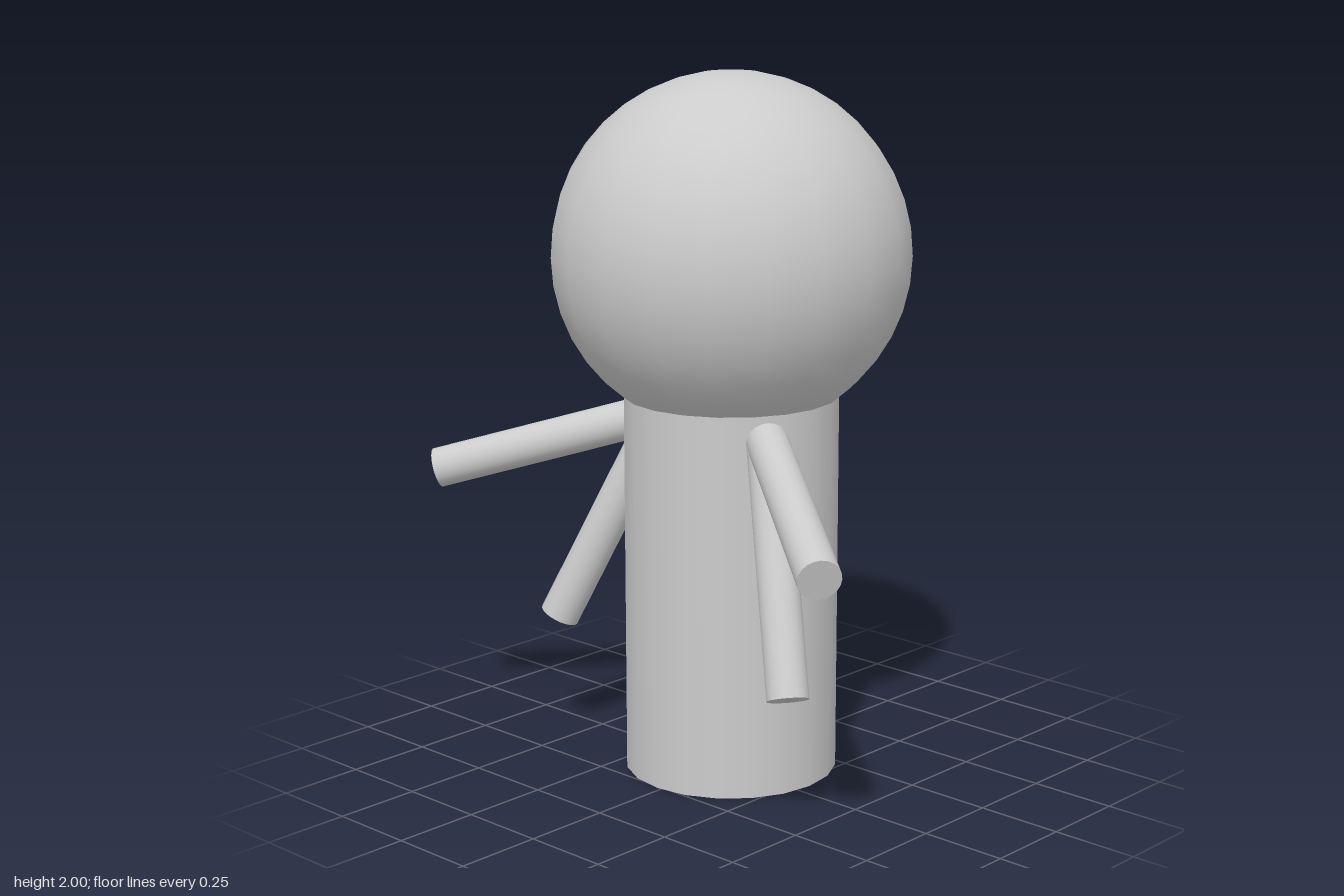
import * as THREE from 'three';

const material = new THREE.MeshStandardMaterial({ color: 0xcccccc });
const SIDES = 20;

// Straight round limb between two points
function limb(name, from, to, radius = 0.058) {
  const a = new THREE.Vector3(...from);
  const b = new THREE.Vector3(...to);
  const dir = b.clone().sub(a);
  const mesh = new THREE.Mesh(
    new THREE.CylinderGeometry(radius, radius, dir.length(), SIDES), material);
  mesh.name = name;
  mesh.position.copy(a).add(b).multiplyScalar(0.5);
  mesh.quaternion.setFromUnitVectors(new THREE.Vector3(0, 1, 0), dir.normalize());
  return mesh;
}

export function createModel() {
  const model = new THREE.Group();
  model.name = 'figure';
  const cx = -0.013, cz = -0.046;

  // Upright round body
  const body = new THREE.Mesh(
    new THREE.CylinderGeometry(0.305, 0.305, 1.1, SIDES), material);
  body.name = 'body';
  body.position.set(cx, 0.55, cz);
  model.add(body);

  // Large ball head
  const head = new THREE.Mesh(new THREE.SphereGeometry(0.504, SIDES, SIDES), material);
  head.name = 'head';
  head.position.set(cx, 1.496, cz);
  model.add(head);

  // Two limbs fan out from each shoulder, reaching forward and down
  const leftShoulder = [0.256, 1.026, 0.1];
  const rightShoulder = [-0.29, 0.998, -0.012];
  model.add(
    limb('leftUpperArm', leftShoulder, [0.79, 0.834, 0.497]),
    limb('leftLowerArm', leftShoulder, [0.505, 0.396, 0.29]),
    limb('rightUpperArm', rightShoulder, [-0.793, 0.821, 0.372]),
    limb('rightLowerArm', [-0.258, 0.998, -0.012], [-0.505, 0.385, 0.165]),
  );
  return model;
}
